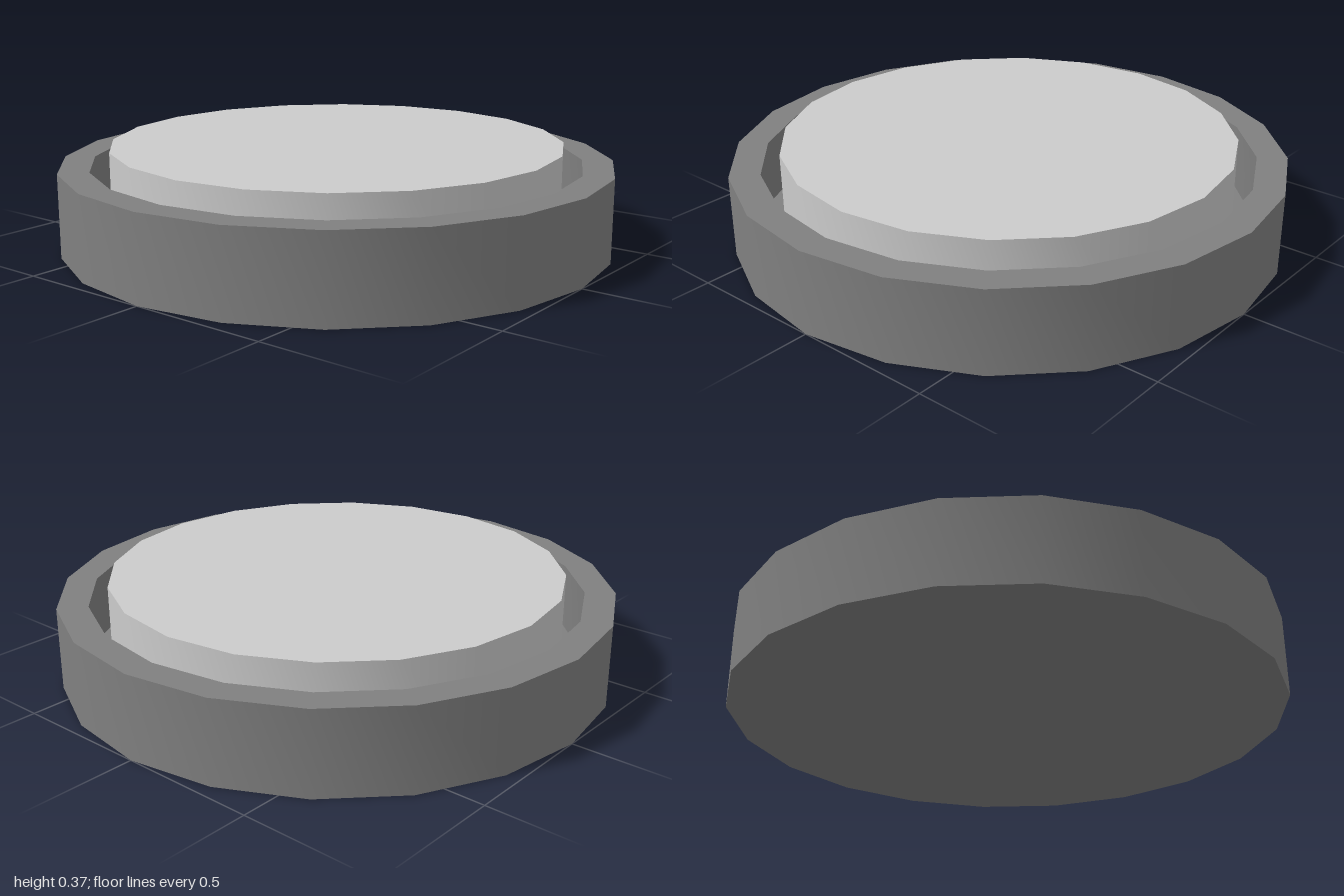
import * as THREE from 'three';
import { toCreasedNormals } from 'three/addons/utils/BufferGeometryUtils.js';

const SIDES = 20;
const FLOOR = 0.07;

// Turned part from [radius, height] pairs, listed from the underside outwards and up
function turned(name, profile, color) {
  const points = profile.map(([r, y]) => new THREE.Vector2(r, y));
  const geometry = toCreasedNormals(new THREE.LatheGeometry(points, SIDES), 0.6);
  const mesh = new THREE.Mesh(geometry, new THREE.MeshStandardMaterial({ color }));
  mesh.name = name;
  return mesh;
}

export function createModel() {
  const group = new THREE.Group();
  group.name = 'roundButton';

  // Shallow dish: base, outer wall, rim, inner wall and recessed floor
  group.add(turned('housing', [
    [0, 0], [1, 0], [1, 0.3], [0.89, 0.3], [0.89, FLOOR], [0, FLOOR],
  ], 0x808080));

  // Raised disc standing in the dish
  group.add(turned('buttonDisc', [
    [0.82, FLOOR], [0.82, 0.365], [0, 0.365],
  ], 0xcccccc));

  return group;
}
